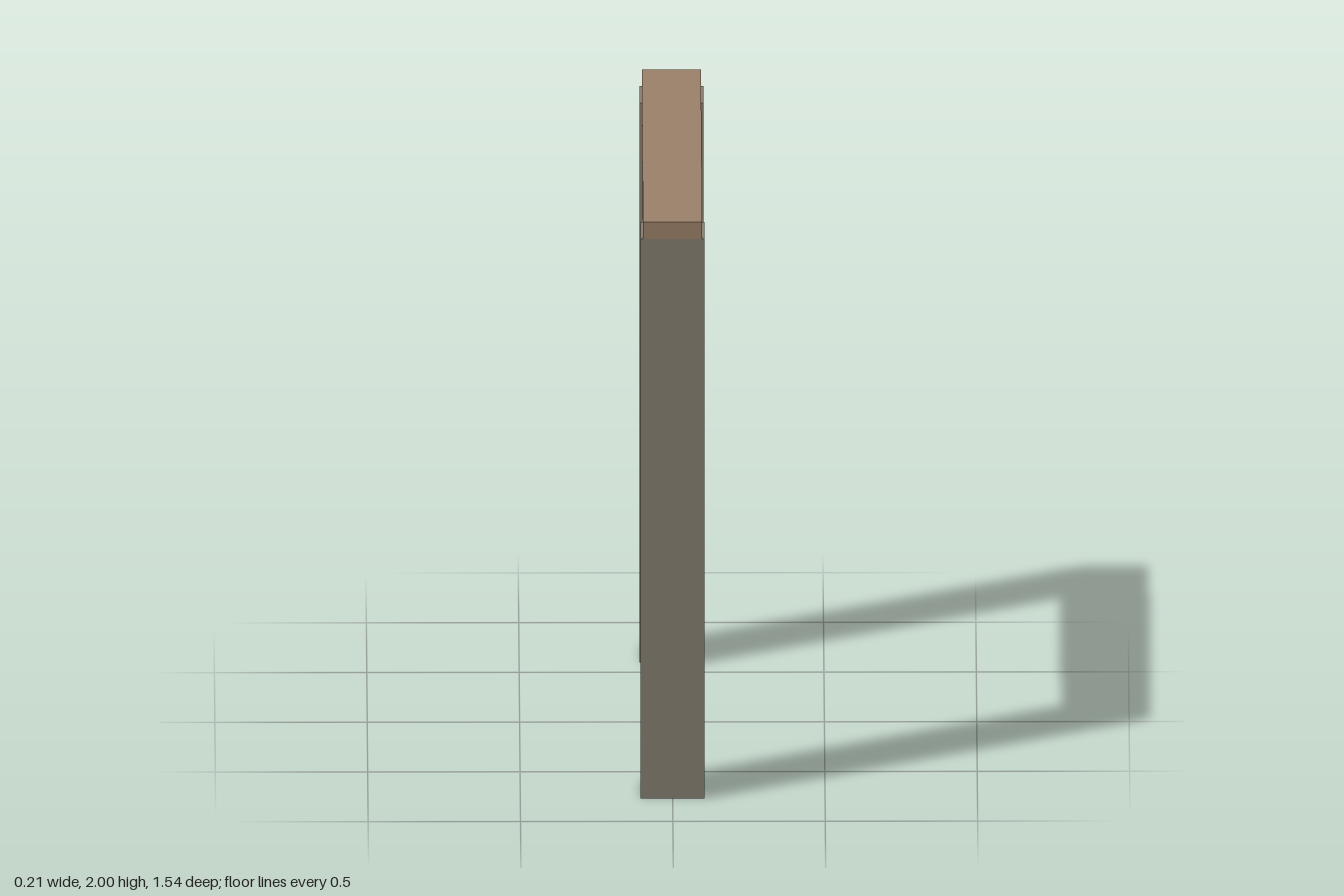
import * as THREE from 'three';

export function createModel() {
  const model = new THREE.Group();
  model.name = 'timberFrame';

  const postWood = new THREE.MeshStandardMaterial({ color: 0x857e70 });
  postWood.name = 'weathered grey wood';
  const beamWood = new THREE.MeshStandardMaterial({ color: 0x9b8169 });
  beamWood.name = 'warm brown wood';

  const addBox = (name, material, size, position) => {
    const mesh = new THREE.Mesh(new THREE.BoxGeometry(...size), material);
    mesh.name = name;
    mesh.position.set(...position);
    model.add(mesh);
  };

  // Upright posts at the front and back
  const postHeight = 1.942, postDepth = 0.172, halfLength = 0.77;
  for (const side of [1, -1]) {
    addBox(side > 0 ? 'frontPost' : 'backPost', postWood,
      [0.21, postHeight, postDepth],
      [0, postHeight / 2, side * (halfLength - postDepth / 2)]);
  }

  // Crossbeam let into the post tops, slightly narrower than the posts
  const beamHeight = 0.132;
  addBox('crossbeam', beamWood, [0.194, beamHeight, 1.535], [0, 2 - beamHeight / 2, 0]);

  return model;
}
